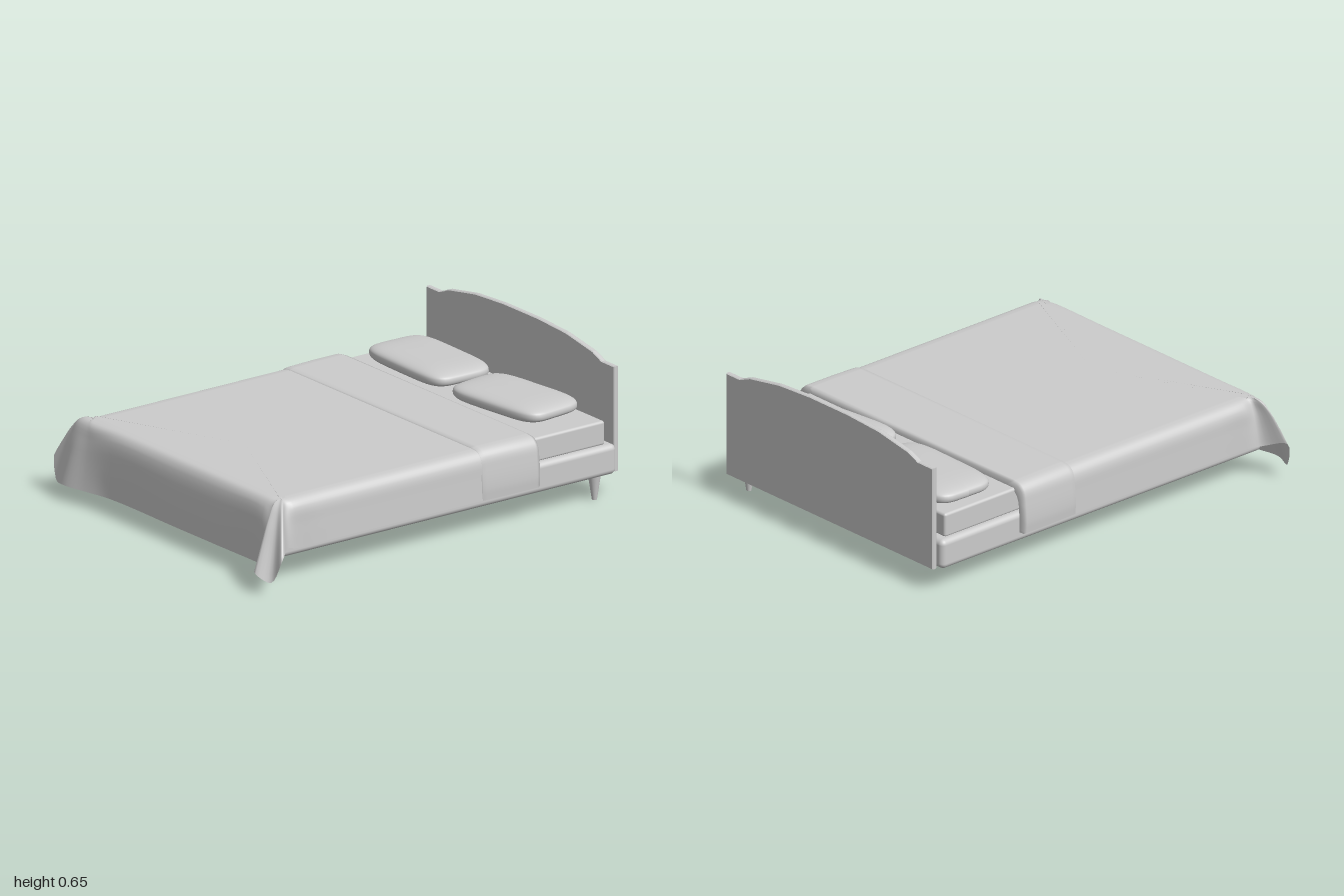
import * as THREE from 'three';
import { RoundedBoxGeometry } from 'three/addons/geometries/RoundedBoxGeometry.js';

const grey = new THREE.MeshStandardMaterial({ color: 0xcccccc });
const cloth = new THREE.MeshStandardMaterial({ color: 0xcccccc, side: THREE.DoubleSide });

function part(group, name, geometry, material = grey) {
  const mesh = new THREE.Mesh(geometry, material);
  mesh.name = name;
  group.add(mesh);
  return mesh;
}

// Box with rounded edges, given by its limits
function softBox(group, name, [x0, x1], [y0, y1], [z0, z1], r) {
  const mesh = part(group, name, new RoundedBoxGeometry(x1 - x0, y1 - y0, z1 - z0, 4, r));
  mesh.position.set((x0 + x1) / 2, (y0 + y1) / 2, (z0 + z1) / 2);
}

// Smooth surface through equally long rows of points
function loft(rows) {
  const n = rows[0].length, index = [];
  for (let i = 0; i < rows.length - 1; i++) {
    for (let j = 0; j < n - 1; j++) {
      const a = i * n + j, b = a + n;
      index.push(a, b, a + 1, b, b + 1, a + 1);
    }
  }
  const geometry = new THREE.BufferGeometry().setFromPoints(rows.flat());
  geometry.setIndex(index);
  geometry.computeVertexNormals();
  return geometry;
}

const V = (x, y, z) => new THREE.Vector3(x, y, z);
const curve = (points) => new THREE.CatmullRomCurve3(points, false, 'centripetal');

// Pillow: a sphere squared off in plan and flattened in section
function pillowGeometry(w, h, d) {
  const geometry = new THREE.SphereGeometry(1, 48, 24);
  const p = geometry.attributes.position;
  const pow = (v, e) => Math.sign(v) * Math.abs(v) ** e;
  for (let i = 0; i < p.count; i++) {
    const y = THREE.MathUtils.clamp(p.getY(i), -1, 1);
    const s = (1 - y * y) ** 0.25;
    const a = Math.atan2(p.getZ(i), p.getX(i));
    p.setXYZ(i, pow(Math.cos(a), 0.4) * s * w / 2, pow(y, 0.7) * h / 2, pow(Math.sin(a), 0.4) * s * d / 2);
  }
  geometry.computeVertexNormals();
  return geometry;
}

// Blanket sections, each from the top edge over the shoulder to the hem
const side = (s, z) => [[.63, .365], [.675, .357], [.7, .325], [.706, .25], [.71, .15]]
  .map(([x, y]) => V(s * x, y, z));
const front = (x) => [[.365, .79], [.357, .835], [.32, .86], [.2, .873], [.07, .873]]
  .map(([y, z]) => V(x, y, z));
// Corner section reaching to a hem point; a lower puff swells it outward
const flare = (x, y, z, puff = 1) => [[0, 0], [.28, .05], [.5, .27], [.73, .6], [1, 1]]
  .map(([out, drop]) => {
    const top = V(Math.sign(x) * .63, .365, .785);
    const t = out ** puff;
    return V(top.x + (x - top.x) * t, top.y + (y - top.y) * drop, top.z + (z - top.z) * t);
  });

function blanketGeometry() {
  const stations = [
    side(1, -.53), side(1, 0), side(1, .6), side(1, .77),
    flare(.735, .17, .83, .7), flare(.83, .16, .935), flare(.79, .057, .965),
    flare(.71, .09, .995), flare(.675, .085, .91, .7),
    front(.6), front(.3), front(0), front(-.45),
    flare(-.6, .07, .9, .5), flare(-.72, .07, .92, .7), flare(-.81, .07, .89, .6),
    flare(-.835, .18, .87, .7), flare(-.73, .15, .82, .6),
    side(-1, .75), side(-1, .6), side(-1, 0), side(-1, -.53),
  ];
  // Smooth along the hem, then across it
  const steps = (stations.length - 1) * 5;
  const rails = stations[0].map((_, j) => curve(stations.map((s) => s[j])));
  const rows = [];
  for (let i = 0; i <= steps; i++) {
    const points = rails.map((rail) => rail.getPoint(i / steps));
    const middle = V(0, .365, Math.min(points[0].z, .5));
    rows.push([middle, ...curve(points).getPoints(16)]);
  }
  return loft(rows);
}

// Turned-down band, tucked in at both ends
function foldGeometry() {
  const ends = [[-.532, .69, .345], [-.53, .718, .368], [-.515, .72, .373],
    [-.38, .718, .374], [-.25, .714, .373], [-.23, .713, .37], [-.225, .706, .362]];
  return loft(ends.map(([z, x, y]) => {
    const half = [[x - .003, .15], [x, .2], [x - .005, .28], [x - .015, y - .035], [x - .04, y - .008], [x - .085, y]];
    const right = half.map(([px, py]) => V(-px, py, z));
    const left = half.map(([px, py]) => V(px, py, z)).reverse();
    return [...curve(right).getPoints(20), ...curve(left).getPoints(20)];
  }));
}

function headboardGeometry() {
  const arch = [[.565, .576], [.5, .603], [.315, .635], [.12, .646]];
  const shape = new THREE.Shape();
  shape.moveTo(.65, .11);
  shape.lineTo(.65, .576);
  arch.forEach(([x, y]) => shape.lineTo(x, y));
  arch.reverse().forEach(([x, y]) => shape.lineTo(-x, y));
  shape.lineTo(-.655, .576);
  shape.lineTo(-.655, .11);
  return new THREE.ExtrudeGeometry(shape, {
    depth: .015, bevelSize: .003, bevelThickness: .005, bevelSegments: 1,
  }).translate(0, 0, -.995);
}

export function createModel() {
  const bed = new THREE.Group();
  bed.name = 'bed';

  softBox(bed, 'base', [-.69, .68], [.105, .24], [-.972, .86], .025);
  softBox(bed, 'mattress', [-.66, .65], [.236, .345], [-.93, .83], .012);
  part(bed, 'headboard', headboardGeometry());

  // Single tapered leg under the head end
  part(bed, 'leg', new THREE.CylinderGeometry(.028, .011, .11, 24)).position.set(.64, .055, -.88);

  part(bed, 'blanket', blanketGeometry(), cloth);
  part(bed, 'blanketFold', foldGeometry(), cloth);

  const pillows = [['rightPillow', -.345, .55, .32, -.02], ['leftPillow', .255, .54, .315, .12]];
  for (const [name, x, w, d, turn] of pillows) {
    const pillow = part(bed, name, pillowGeometry(w, .078, d));
    pillow.position.set(x, .377, -.75);
    pillow.rotation.y = turn;
  }
  return bed;
}
